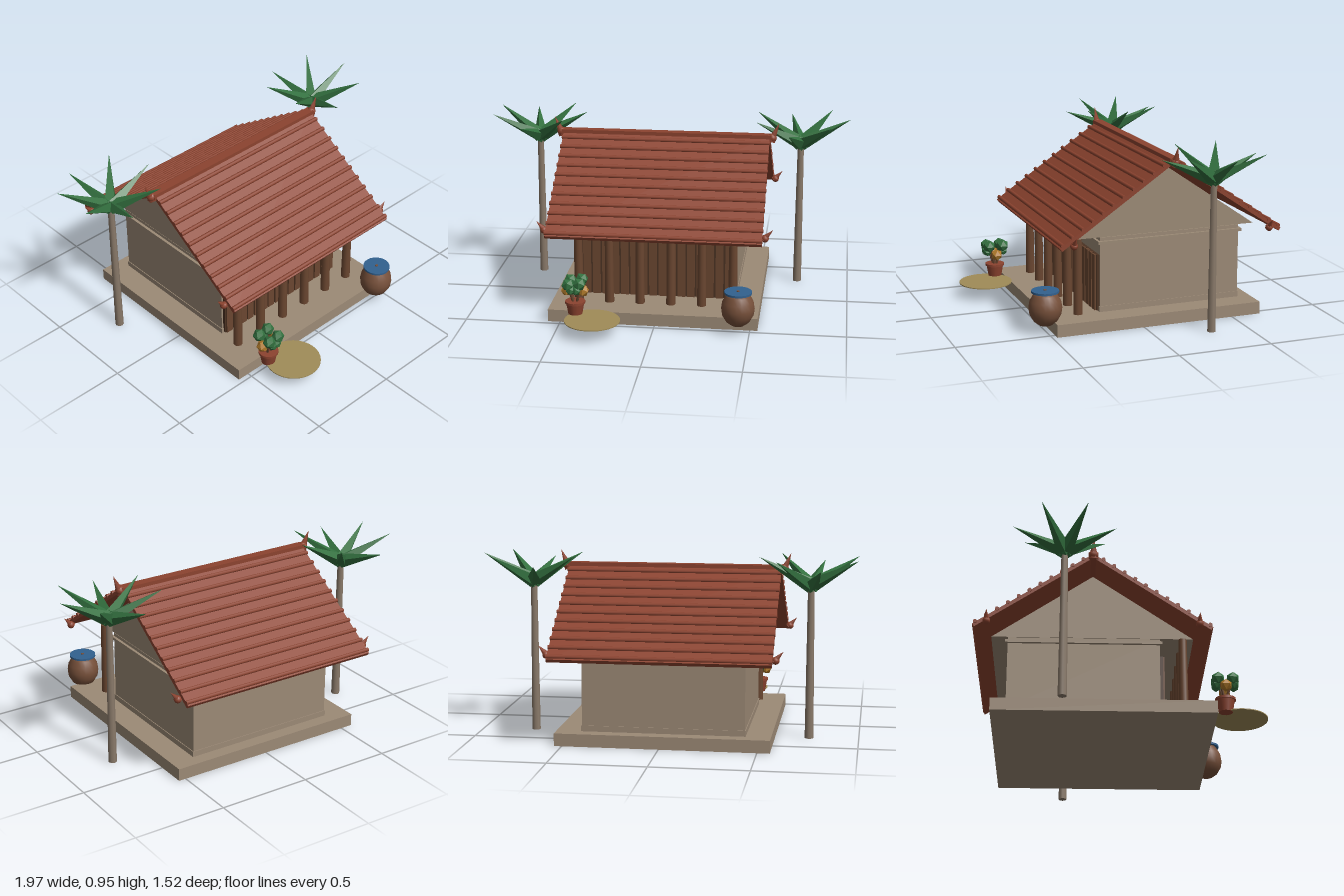
import * as THREE from 'three';

const mat = (name, color, flatShading = false) => {
  const m = new THREE.MeshStandardMaterial({ color, flatShading });
  m.name = name;
  return m;
};

export function createModel() {
  const model = new THREE.Group();
  model.name = 'house';
  const stone = mat('stone', 0x9c8a76);
  const tile = mat('roofTile', 0x8c432f);
  const wood = mat('wood', 0x6a4630);
  const darkWood = mat('darkWood', 0x4b3222);
  const bark = mat('bark', 0x8a7a6a);
  const leaf = mat('leaf', 0x33703f, true);
  const clay = mat('clay', 0x77503a);
  const blue = mat('blue', 0x32618f);
  const sand = mat('sand', 0xa08c58);
  const orange = mat('orangeFlower', 0xb07a2a, true);

  const add = (name, geo, material, x = 0, y = 0, z = 0, parent = model) => {
    const m = new THREE.Mesh(geo, material);
    m.name = name;
    m.position.set(x, y, z);
    parent.add(m);
    return m;
  };
  const box = (name, w, h, d, material, x, y, z, parent) =>
    add(name, new THREE.BoxGeometry(w, h, d), material, x, y, z, parent);

  const cx = -0.013, ridgeZ = -0.152;

  // Platform and walls
  box('platform', 1.105, 0.066, 1.135, stone, cx, 0.033, -0.0935);
  box('walls', 0.84, 0.4, 0.785, stone, cx, 0.266, -0.196);
  box('wallSkirting', 0.848, 0.03, 0.793, stone, cx, 0.081, -0.196);
  box('wallMoulding', 0.87, 0.016, 0.812, stone, cx, 0.44, -0.196);

  // Gable prism, running the width of the house
  const gable = new THREE.Shape();
  gable.moveTo(-0.522, 0);
  gable.lineTo(0.522, 0);
  gable.lineTo(0, 0.36);
  const gableGeo = new THREE.ExtrudeGeometry(gable, { depth: 0.84, bevelEnabled: false });
  gableGeo.translate(0, 0, -0.42).rotateY(Math.PI / 2);
  add('gable', gableGeo, stone, cx, 0.468, ridgeZ);

  // Plank front
  box('plankBacking', 0.82, 0.3, 0.015, darkWood, cx, 0.222, 0.204);
  for (let i = 0; i < 16; i++)
    box('plank', 0.041, 0.3, 0.014, wood, cx - 0.383 + i * 0.051, 0.222, 0.214);

  // Porch posts
  for (let i = 0; i < 6; i++)
    add('porchPost', new THREE.CylinderGeometry(0.022, 0.025, 0.402, 10), wood,
      -0.425 + i * 0.1645, 0.267, 0.315);

  // Two roof slopes with rows of tile ribs
  const run = 0.608, drop = 0.412, len = Math.hypot(run, drop), pitch = Math.atan2(drop, run);
  for (const side of [1, -1]) {
    const slope = new THREE.Group();
    slope.name = side > 0 ? 'frontRoof' : 'backRoof';
    slope.position.set(cx, 0.873, ridgeZ);
    slope.rotation.set(pitch * side, 0, 0);
    model.add(slope);
    box('roofPanel', 1.13, 0.02, len, tile, 0, 0, side * len / 2, slope);
    for (let i = 0; i < 11; i++) {
      const rib = new THREE.CylinderGeometry(0.011, 0.011, 1.136, 8);
      rib.rotateZ(Math.PI / 2);
      add('tileRib', rib, tile, 0, 0.012, side * (0.055 + i * 0.066), slope);
    }
  }
  box('ridgeCap', 1.15, 0.036, 0.05, tile, cx, 0.87, ridgeZ);

  // Pointed finials at the ridge ends and eave corners
  const finial = (side, y, z, size) => {
    const g = new THREE.Group();
    g.name = 'finial';
    g.position.set(cx + side * 0.57, y, z);
    model.add(g);
    add('finialBase', new THREE.SphereGeometry(0.024 * Math.sqrt(size), 10, 8), tile, side * 0.008, 0, 0, g);
    const horn = add('finialHorn', new THREE.ConeGeometry(0.024 * Math.sqrt(size), 0.1 * size, 6), tile,
      side * 0.024, 0.03 * size, 0, g);
    horn.rotation.z = -side * (size > 0.9 ? 0.4 : 0.75);
  };
  for (const side of [1, -1]) {
    finial(side, 0.87, ridgeZ, 1.1);
    finial(side, 0.48, 0.392, 0.7);
    finial(side, 0.48, -0.692, 0.7);
  }

  // Palms with seven pointed fronds each
  const up = new THREE.Vector3(0, 1, 0);
  for (const x of [-0.742, 0.717]) {
    const palm = new THREE.Group();
    palm.name = 'palm';
    palm.position.set(x, 0, -0.3);
    model.add(palm);
    add('palmTrunk', new THREE.CylinderGeometry(0.017, 0.023, 0.8, 8), bark, 0, 0.4, 0, palm);
    for (let k = 0; k < 7; k++) {
      const a = k * Math.PI * 2 / 7;
      const rise = k === 2 || k === 5 ? 0.105 : 0.145;
      const dir = new THREE.Vector3(Math.cos(a) * 0.27, rise, Math.sin(a) * 0.27);
      const length = dir.length();
      const geo = new THREE.ConeGeometry(0.04, length, 4);
      geo.translate(0, length / 2, 0);
      const frond = add('palmFrond', geo, leaf, 0, 0.802, 0, palm);
      frond.quaternion.setFromUnitVectors(up, dir.normalize());
    }
  }

  // Water jar with a lid
  const jar = new THREE.Group();
  jar.name = 'waterJar';
  jar.position.set(0.439, 0, 0.506);
  model.add(jar);
  const jarProfile = [[0, 0.04], [0.035, 0.044], [0.062, 0.065], [0.082, 0.1], [0.087, 0.135],
    [0.081, 0.172], [0.064, 0.203], [0.056, 0.218], [0, 0.218]].map(p => new THREE.Vector2(...p));
  add('jarBody', new THREE.LatheGeometry(jarProfile, 20), clay, 0, 0, 0, jar);
  add('jarLid', new THREE.CylinderGeometry(0.072, 0.072, 0.011, 20), blue, 0, 0.222, 0, jar);
  add('lidKnob', new THREE.CylinderGeometry(0.008, 0.008, 0.004, 8), clay, 0, 0.229, 0, jar);

  // Round mat
  add('roundMat', new THREE.CylinderGeometry(0.145, 0.145, 0.005, 32), sand, -0.305, 0.074, 0.613);

  // Potted plant
  const plant = new THREE.Group();
  plant.name = 'pottedPlant';
  plant.position.set(-0.407, 0, 0.53);
  model.add(plant);
  add('pot', new THREE.CylinderGeometry(0.048, 0.036, 0.07, 14), tile, 0, 0.105, 0, plant);
  add('potRim', new THREE.CylinderGeometry(0.053, 0.053, 0.012, 14), tile, 0, 0.14, 0, plant);
  for (const sx of [1, -1])
    for (const sz of [1, -1]) {
      const stem = add('stem', new THREE.CylinderGeometry(0.006, 0.007, 0.1, 6), wood,
        sx * 0.019, 0.185, sz * 0.017, plant);
      stem.rotation.set(sz * 0.25, 0, -sx * 0.2);
      add('foliage', new THREE.IcosahedronGeometry(0.035, 0), leaf, sx * 0.03, sx > 0 ? 0.252 : 0.246, sz * 0.038, plant);
      add('foliage', new THREE.IcosahedronGeometry(0.026, 0), leaf, sx * 0.014, 0.218, sz * 0.045, plant);
    }
  for (const sx of [1, -1])
    add('flower', new THREE.IcosahedronGeometry(0.033, 0), orange, sx * 0.042, 0.203, 0, plant);

  return model;
}
